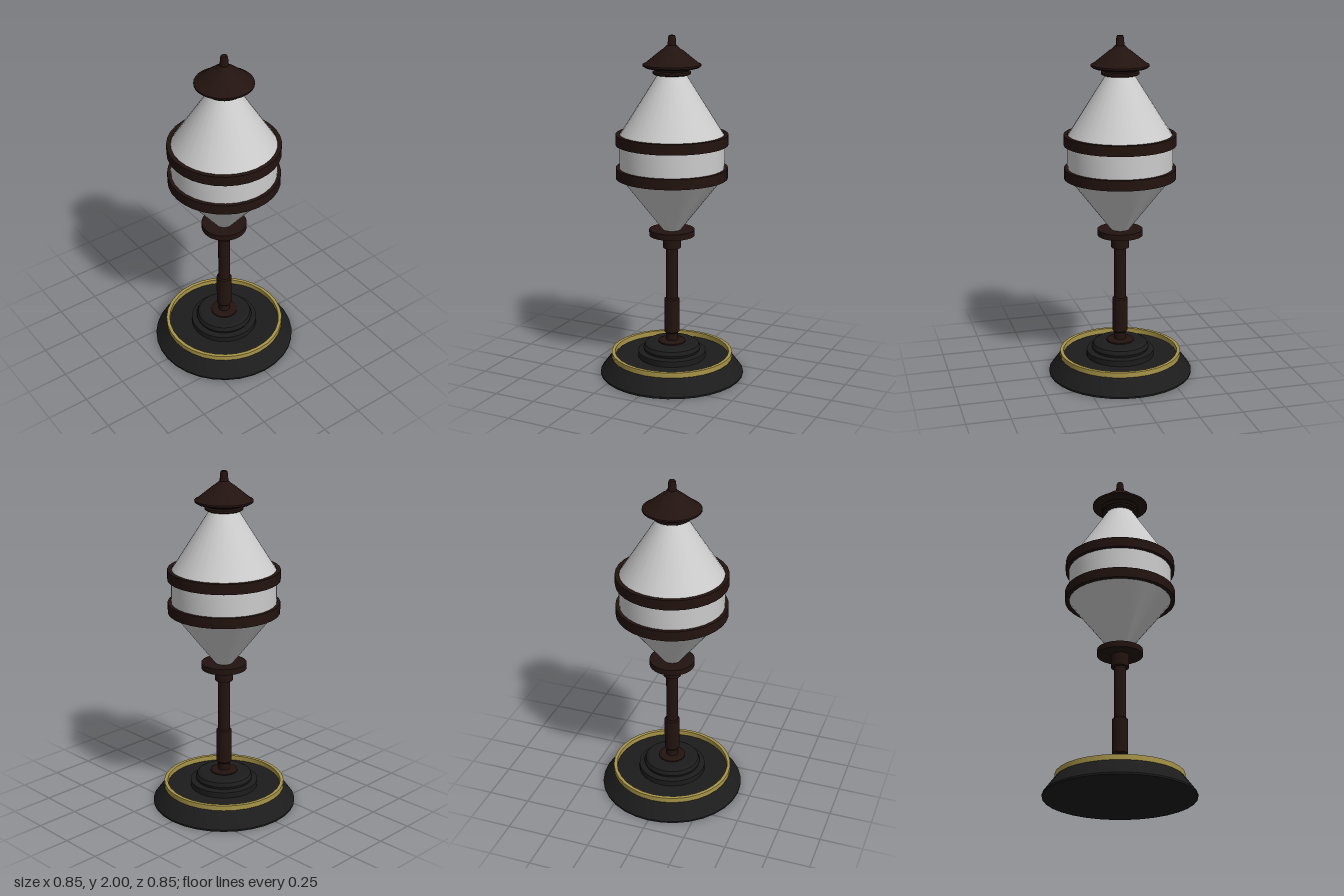
import * as THREE from 'three';
import { toCreasedNormals } from 'three/addons/utils/BufferGeometryUtils.js';

const SIDES = 32;
const material = (color) => new THREE.MeshStandardMaterial({ color });

export function createModel() {
  const group = new THREE.Group();
  const black = material(0x1c1c1c);
  const brown = material(0x22130f);
  const gold = material(0xa89548);
  const glass = material(0xcccccc);

  // Turned part from [radius, y] points, listed bottom to top along the outside
  function turned(name, mat, profile) {
    const points = profile.map(([r, y]) => new THREE.Vector2(r, y));
    const geometry = toCreasedNormals(new THREE.LatheGeometry(points, SIDES), 0.35);
    const mesh = new THREE.Mesh(geometry, mat);
    mesh.name = name;
    group.add(mesh);
  }

  // Solid turned part, closed at both ends on the axis
  const solid = (name, mat, profile) => turned(name, mat,
    [[0, profile[0][1]], ...profile, [0, profile[profile.length - 1][1]]]);

  // Square-section ring
  const ring = (name, mat, inner, outer, y0, y1) => turned(name, mat,
    [[inner, y0], [outer, y0], [outer, y1], [inner, y1], [inner, y0]]);

  // Foot: sloped base, raised gold rim and stepped boss
  solid('base', black, [[0.425, 0], [0.425, 0.01], [0.358, 0.1]]);
  ring('goldRim', gold, 0.338, 0.358, 0.097, 0.13);
  solid('baseBoss', black, [[0.2, 0.1], [0.2, 0.135], [0.165, 0.14], [0.17, 0.155],
    [0.16, 0.178], [0.145, 0.187], [0.09, 0.19]]);
  solid('stemFoot', brown, [[0.08, 0.185], [0.08, 0.197], [0.065, 0.203]]);

  // Post
  solid('stem', brown, [[0.035, 0.2], [0.035, 0.78]]);
  solid('stemSleeve', brown, [[0.037, 0.245], [0.045, 0.255], [0.045, 0.455], [0.037, 0.462]]);
  solid('stemCollar', brown, [[0.052, 0.77], [0.052, 0.85]]);
  solid('lanternPlate', brown, [[0.132, 0.845], [0.132, 0.88]]);

  // Lantern body and its two bands
  solid('lanternGlass', glass, [[0.045, 0.87], [0.302, 1.2], [0.302, 1.43], [0.075, 1.79]]);
  [1.188, 1.382].forEach((y, i) =>
    ring(i ? 'upperBand' : 'lowerBand', brown, 0.298, 0.322, y, y + 0.06));

  // Cap and finial
  solid('capNeck', brown, [[0.1, 1.78], [0.108, 1.785], [0.108, 1.797], [0.098, 1.803], [0.115, 1.825]]);
  solid('cap', brown, [[0.152, 1.82], [0.165, 1.828], [0.165, 1.838], [0.15, 1.845],
    [0.06, 1.918], [0.05, 1.922], [0.027, 1.945]]);
  solid('finial', brown, [[0.025, 1.94], [0.021, 1.99], [0.017, 2]]);

  return group;
}
